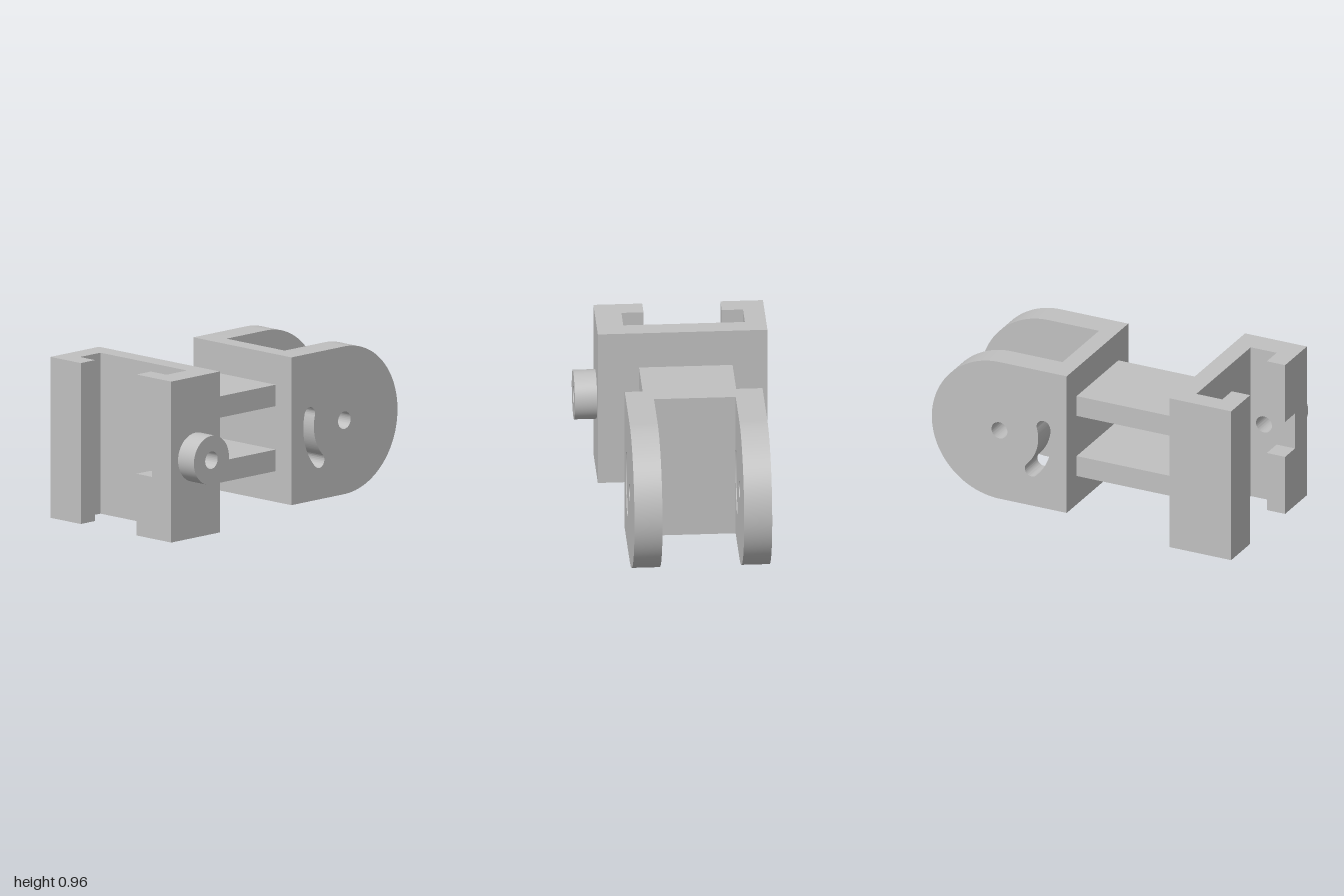
import * as THREE from 'three';
import { toCreasedNormals } from 'three/addons/utils/BufferGeometryUtils.js';

const grey = new THREE.MeshStandardMaterial({ color: 0xc0c0c0 });
grey.name = 'plain grey';

const MID = 0.483;    // height of the shared centre line
const PIVOT = -0.556; // z of the cheek pivot
const BOLT = 0.797;   // z of the clamp bolt

export function createModel() {
  const model = new THREE.Group();

  const add = (parent, name, geometry) => {
    const mesh = new THREE.Mesh(geometry, grey);
    mesh.name = name;
    parent.add(mesh);
  };
  const group = (name) => {
    const g = new THREE.Group();
    g.name = name;
    model.add(g);
    return g;
  };
  // Box given by its limits
  const box = (x0, x1, y0, y1, z0, z1) =>
    new THREE.BoxGeometry(x1 - x0, y1 - y0, z1 - z0)
      .translate((x0 + x1) / 2, (y0 + y1) / 2, (z0 + z1) / 2);
  // Side profile drawn in (z, y), extruded from x0 to x1
  const sidePlate = (shape, x0, x1) => toCreasedNormals(
    new THREE.ExtrudeGeometry(shape, { depth: x1 - x0, bevelEnabled: false, curveSegments: 32 })
      .rotateY(-Math.PI / 2).translate(x1, 0, 0), 0.5);
  const circle = (path, z, r) => path.absarc(z, MID, r, 0, Math.PI * 2, false);
  const hole = (z, r) => circle(new THREE.Path(), z, r);

  // Rail clamp: C channel open to the front
  const clamp = group('railClamp');
  const channel = new THREE.Shape([
    [-0.565, 1], [-0.315, 1], [-0.315, 0.88], [-0.44, 0.88],
    [-0.44, 0.71], [0.275, 0.71], [0.275, 0.595], [-0.565, 0.595],
  ].map(([x, z]) => new THREE.Vector2(x, -z)));
  add(clamp, 'channel', new THREE.ExtrudeGeometry(channel, { depth: 0.965, bevelEnabled: false })
    .rotateX(-Math.PI / 2));

  // Bolt wall with its hole, and the notched lip
  const wall = new THREE.Shape([[0.595, 0], [1, 0], [1, 0.965], [0.595, 0.965]]
    .map(([z, y]) => new THREE.Vector2(z, y)));
  wall.holes.push(hole(BOLT, 0.052));
  add(clamp, 'boltWall', sidePlate(wall, 0.275, 0.432));
  add(clamp, 'lowerLip', box(0.145, 0.275, 0, 0.37, 0.88, 1));
  add(clamp, 'upperLip', box(0.145, 0.275, 0.597, 0.965, 0.88, 1));

  // Round boss around the bolt hole
  const boss = circle(new THREE.Shape(), BOLT, 0.146);
  boss.holes.push(hole(BOLT, 0.052));
  add(clamp, 'boltBoss', sidePlate(boss, 0.432, 0.563));

  // Two flat arms joining clamp and yoke
  const arms = group('arms');
  add(arms, 'lowerArm', box(-0.36, 0.19, 0.225, 0.354, -0.115, 0.595));
  add(arms, 'upperArm', box(-0.36, 0.19, 0.615, 0.743, -0.115, 0.595));

  // Yoke cheek: rounded plate with pivot hole and curved slot
  const yoke = group('yoke');
  const R = 0.443;
  const cheek = new THREE.Shape();
  cheek.moveTo(-0.115, MID - R);
  cheek.lineTo(-0.115, MID + R);
  cheek.lineTo(PIVOT, MID + R);
  cheek.absarc(PIVOT, MID, R, Math.PI / 2, Math.PI * 1.5, false);
  cheek.closePath();

  const slot = new THREE.Path();
  const r = 0.298, w = 0.044, a0 = -Math.PI / 4, a1 = Math.PI / 12;
  const end = (a) => [PIVOT + r * Math.cos(a), MID + r * Math.sin(a)];
  slot.absarc(PIVOT, MID, r + w, a0, a1, false);
  slot.absarc(...end(a1), w, a1, a1 + Math.PI, false);
  slot.absarc(PIVOT, MID, r - w, a1, a0, true);
  slot.absarc(...end(a0), w, a0 + Math.PI, a0 + Math.PI * 2, false);
  cheek.holes.push(hole(PIVOT, 0.052), slot);

  add(yoke, 'rightCheek', sidePlate(cheek, -0.49, -0.325));
  add(yoke, 'leftCheek', sidePlate(cheek, 0.155, 0.32));
  add(yoke, 'bridge', box(-0.325, 0.155, MID - R, MID + R, -0.225, -0.115));

  return model;
}
